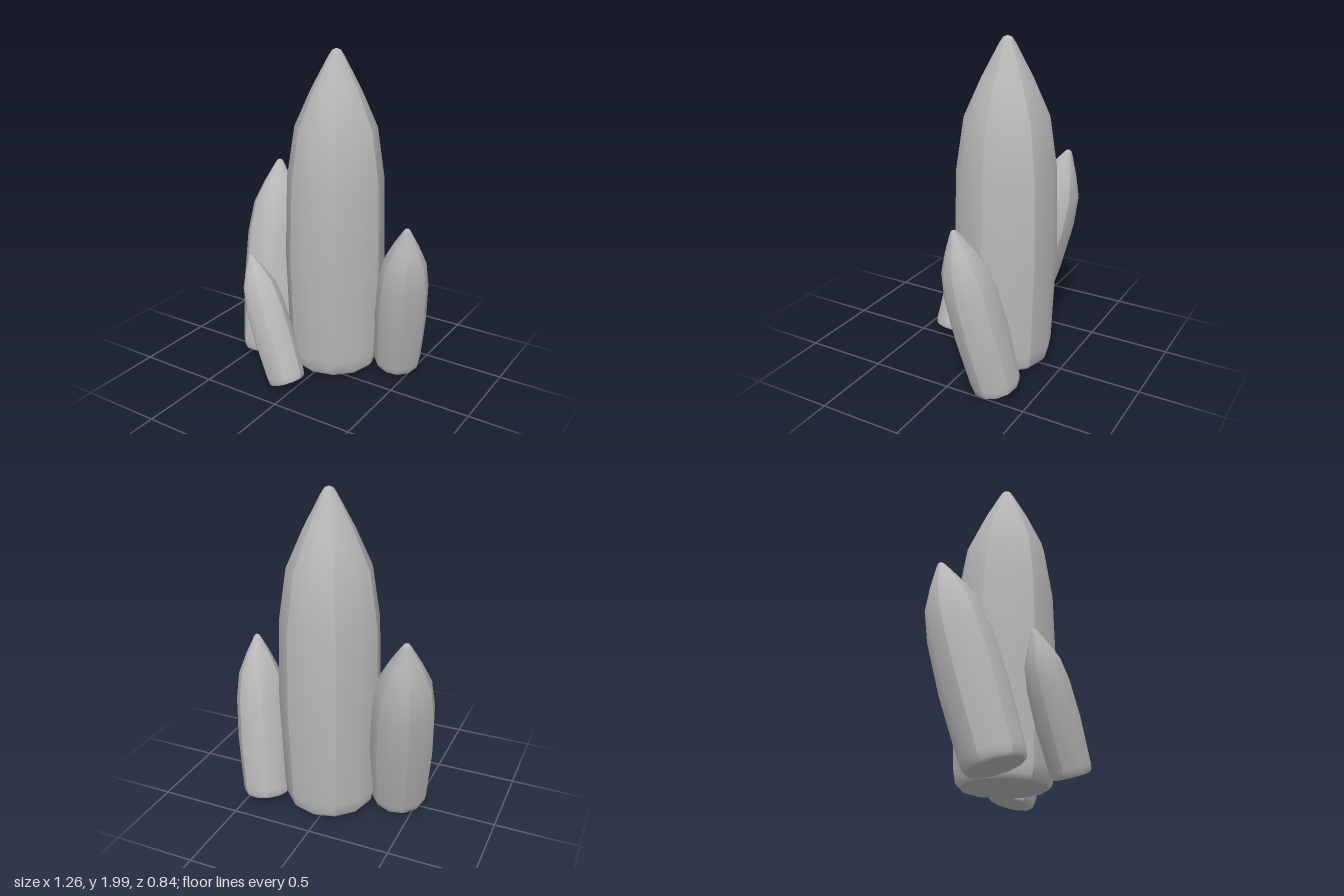
import * as THREE from 'three';
import { mergeGeometries } from 'three/addons/utils/BufferGeometryUtils.js';

const LENGTH = 1.955;
// Spire outline, radius and height, from base edge to rounded tip
const OUTLINE = [
  [0.25, 0], [0.27, 0.025], [0.282, 0.1], [0.304, 0.7], [0.29, 1.195],
  [0.243, 1.505], [0.145, 1.725], [0.045, 1.915], [0.025, 1.945], [0, LENGTH],
];

// Twelve-sided body made of six smooth wedges that meet in sharp ridges
function spireGeometry() {
  const side = OUTLINE.map(([r, y]) => new THREE.Vector2(r, y));
  const base = [new THREE.Vector2(0, 0), new THREE.Vector2(0.25, 0)];
  const parts = [];
  for (let i = 0; i < 6; i++) {
    const start = Math.PI / 6 + i * Math.PI / 3;
    for (const points of [side, base]) {
      const wedge = new THREE.LatheGeometry(points, 2, start, Math.PI / 3);
      wedge.computeVertexNormals();
      parts.push(wedge);
    }
  }
  return mergeGeometries(parts);
}

export function createModel() {
  const group = new THREE.Group();
  group.name = 'spireCluster';
  const stone = new THREE.MeshStandardMaterial({ color: 0xb8b8b8 });
  stone.name = 'grey stone';
  const geometry = spireGeometry();

  // Each spire runs from its base centre to its tip
  const spires = [
    ['mainSpire', [0.02, 0.045, -0.13], [0.02, 2, -0.13]],
    ['rightSpire', [-0.38, 0.055, 0.02], [-0.5, 1.24, -0.29]],
    ['leftSpire', [0.395, 0.05, -0.275], [0.53, 1.035, -0.08]],
    ['smallFrontSpire', [-0.05, 0.055, 0.3], [-0.36, 0.785, 0.225]],
  ];
  for (const [name, from, to] of spires) {
    const foot = new THREE.Vector3(...from);
    const axis = new THREE.Vector3(...to).sub(foot);
    const spire = new THREE.Mesh(geometry, stone);
    spire.name = name;
    spire.position.copy(foot);
    spire.scale.setScalar(axis.length() / LENGTH);
    spire.quaternion.setFromUnitVectors(new THREE.Vector3(0, 1, 0), axis.normalize());
    group.add(spire);
  }
  return group;
}
